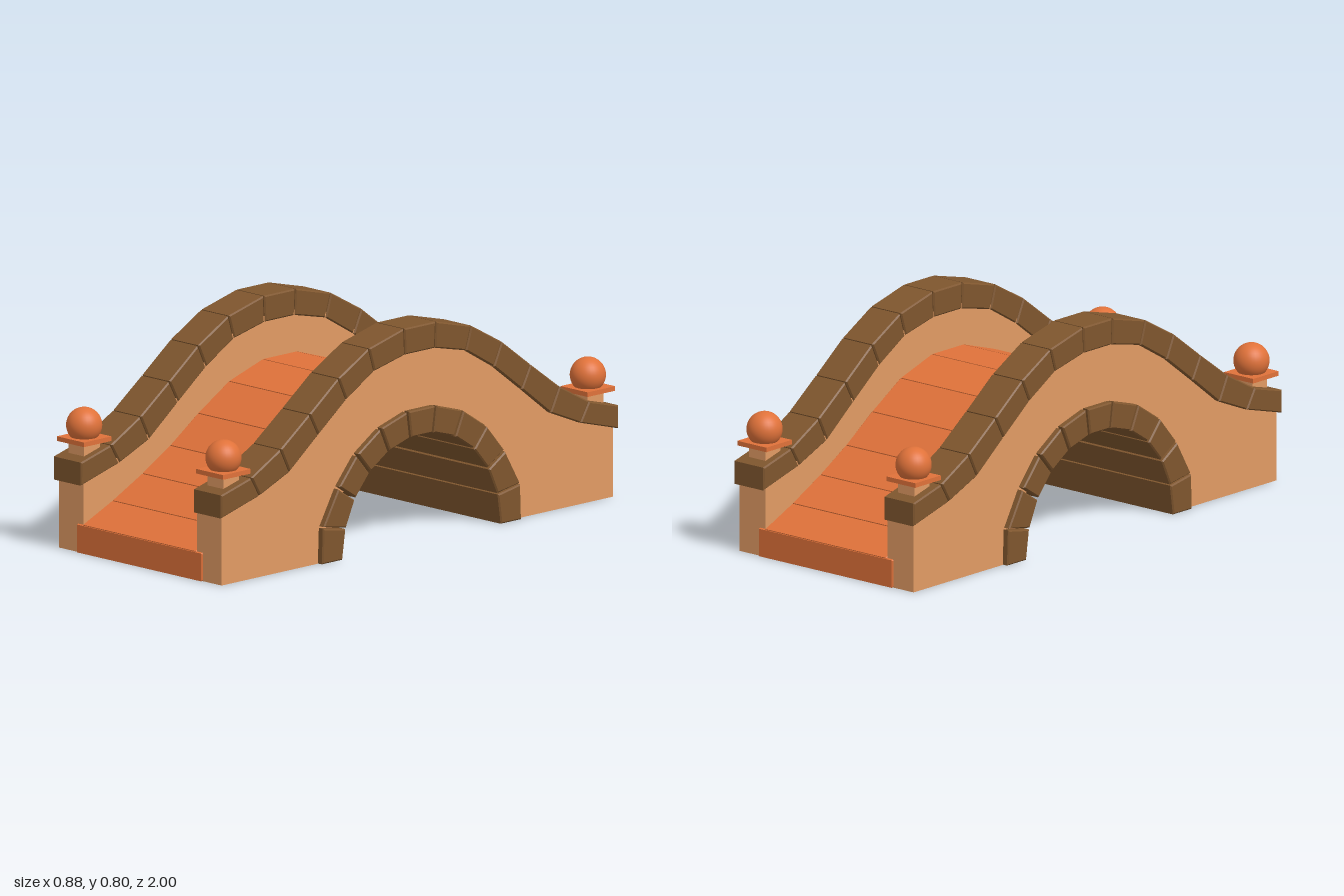
import * as THREE from 'three';

const mat = (color) => new THREE.MeshStandardMaterial({ color, roughness: 0.8 });

// Half profiles as [z, y], from the crown of the bridge down to one end
const COPING_TOP = [[0.08, 0.796], [0.257, 0.752], [0.41, 0.668], [0.555, 0.56], [0.7, 0.455], [0.848, 0.375], [1, 0.335]];
const COPING_BASE = [[0.075, 0.70], [0.23, 0.665], [0.37, 0.583], [0.51, 0.477], [0.655, 0.365], [0.805, 0.303], [1, 0.25]];
const DECK = [[0.085, 0.565], [0.255, 0.512], [0.41, 0.42], [0.55, 0.325], [0.69, 0.245], [0.84, 0.17], [0.99, 0.105]];

// Mirror a half profile into one running from -z to +z
const mirror = (half) => [...half.map(([z, y]) => [-z, y]).reverse(), ...half];

export function createModel() {
  const root = new THREE.Group();
  const orange = mat(0xe0723a), brown = mat(0x7f562e), tan = mat(0xe29b64);

  // Extrude a side outline (z, y) across the bridge from x0 to x1
  function slab(name, points, x0, x1, material, bevel = 0) {
    const shape = new THREE.Shape(points.map(([z, y]) => new THREE.Vector2(z, y)));
    const geo = new THREE.ExtrudeGeometry(shape, {
      depth: x1 - x0 - 2 * bevel, bevelEnabled: bevel > 0, bevelSize: bevel,
      bevelThickness: bevel, bevelOffset: -bevel, bevelSegments: 1,
    });
    geo.rotateY(-Math.PI / 2).translate(x1 - bevel, 0, 0);
    const mesh = new THREE.Mesh(geo, material);
    mesh.name = name;
    root.add(mesh);
    return mesh;
  }

  // Four-cornered block between two rails, with a joint gap at both ends
  function block(name, top, base, i, gap, x0, x1, material) {
    const inset = ([az, ay], [bz, by]) => {
      const t = gap / Math.hypot(bz - az, by - ay);
      return [az + (bz - az) * t, ay + (by - ay) * t];
    };
    const outline = [
      inset(base[i], base[i + 1]), inset(base[i + 1], base[i]),
      inset(top[i + 1], top[i]), inset(top[i], top[i + 1]),
    ];
    slab(name, outline, x0, x1, material, 0.005);
  }

  // Body outline: a top line, flat feet and the arch opening below
  function bodyOutline(top, end) {
    const arch = [];
    for (let i = 0; i <= 22; i++) {
      const a = (i / 22) * Math.PI;
      arch.push([-0.445 * Math.cos(a), 0.445 * Math.sin(a)]);
    }
    return [[-end, 0], ...arch, [end, 0], ...[...top].reverse()];
  }

  // Side walls, topped just inside the coping
  const wallTop = mirror(COPING_BASE.map(([z, y]) => [Math.min(z, 0.983), y + 0.02]));
  slab('rightWall', bodyOutline(wallTop, 0.983), -0.415, -0.29, tan);
  slab('leftWall', bodyOutline(wallTop, 0.983), 0.29, 0.415, tan);

  // Solid core under the deck
  const coreTop = mirror(DECK.map(([z, y], i) => [z, i === DECK.length - 1 ? y - 0.003 : y - 0.012]));
  slab('deckCore', bodyOutline(coreTop, 0.99), -0.32, 0.32, orange, 0.004);

  // Deck planks
  const deckTop = mirror(DECK);
  const deckBase = deckTop.map(([z, y]) => [z * 0.995, y - 0.035]);
  for (let i = 0; i < deckTop.length - 1; i++) {
    block('deckPlank', deckTop, deckBase, i, 0.002, -0.291, 0.291, orange);
  }

  // Coping stones on both walls
  const capTop = mirror(COPING_TOP), capBase = mirror(COPING_BASE);
  for (const [name, x0] of [['rightCopingStone', -0.43], ['leftCopingStone', 0.285]]) {
    for (let i = 0; i < capTop.length - 1; i++) {
      block(name, capTop, capBase, i, 0.002, x0, x0 + 0.145, brown);
    }
  }

  // Arch stones running through the full width
  const STONES = 11;
  const ring = (r) => Array.from({ length: STONES + 1 }, (_, i) => {
    const a = (i / STONES) * Math.PI;
    return [-r * Math.cos(a), r * Math.sin(a)];
  });
  const outer = ring(0.495), inner = ring(0.398);
  // Feet stand upright
  outer[0][0] = -0.5; outer[STONES][0] = 0.5;
  outer[1] = [-0.495, 0.132]; outer[STONES - 1] = [0.495, 0.132];
  for (let i = 0; i < STONES; i++) {
    block('archStone', outer, inner, i, i === 0 || i === STONES - 1 ? 0.001 : 0.005, -0.44, 0.44, brown);
  }

  // Ball finials at the four corners
  for (const sx of [-1, 1]) {
    for (const sz of [-1, 1]) {
      const finial = new THREE.Group();
      finial.name = 'finial';
      const add = (name, geo, y, material) => {
        const m = new THREE.Mesh(geo, material);
        m.name = name;
        m.position.y = y;
        finial.add(m);
      };
      add('finialPlinth', new THREE.BoxGeometry(0.08, 0.08, 0.08), 0.355, tan);
      add('finialSlab', new THREE.BoxGeometry(0.138, 0.017, 0.138), 0.399, orange);
      add('finialBall', new THREE.SphereGeometry(0.065, 32, 20), 0.45, orange);
      finial.position.set(sx * 0.355, 0, sz * 0.915);
      root.add(finial);
    }
  }

  return root;
}
